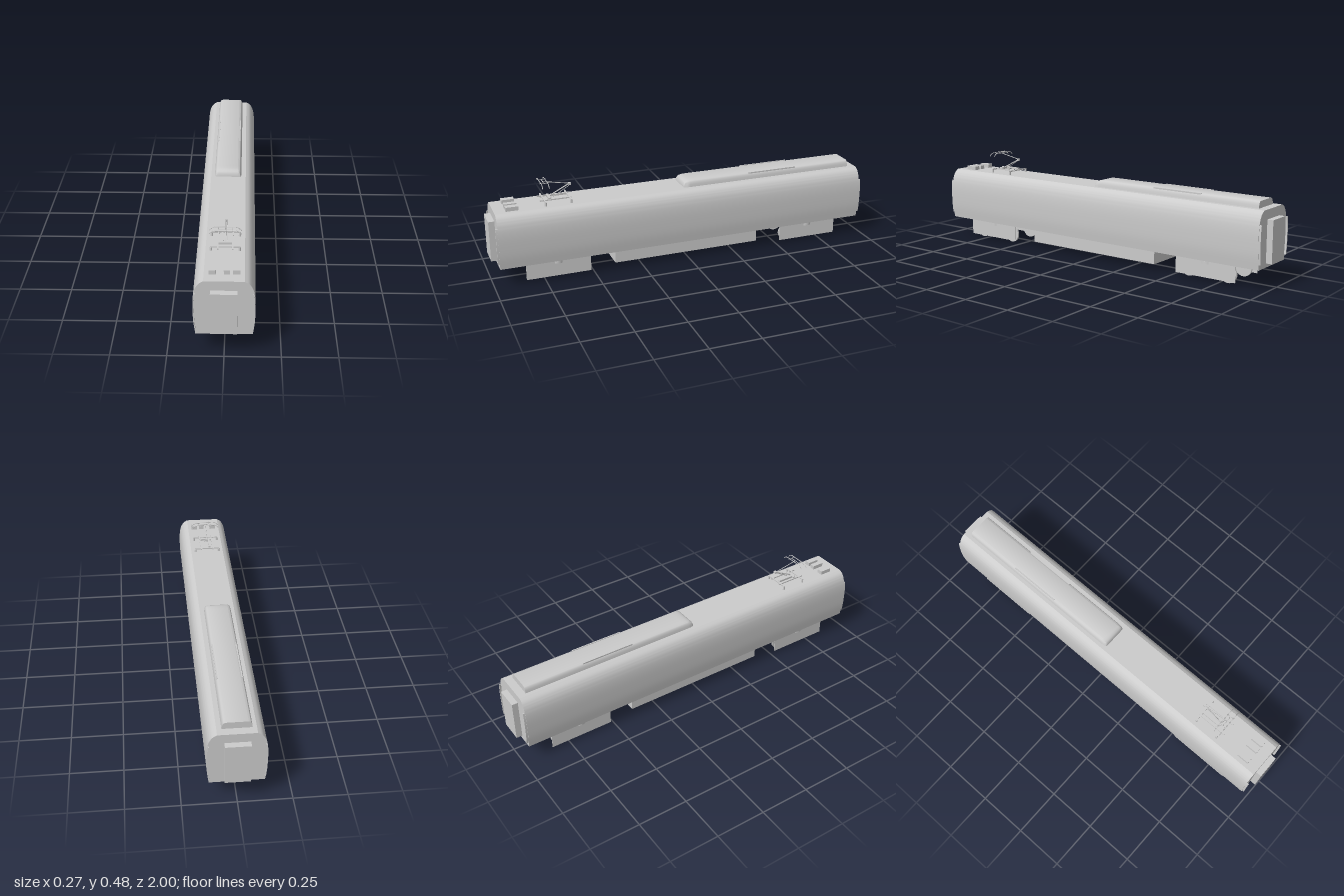
import * as THREE from 'three';
import { toCreasedNormals } from 'three/addons/utils/BufferGeometryUtils.js';

const grey = new THREE.MeshStandardMaterial({ color: 0xcccccc });
const thin = new THREE.MeshStandardMaterial({ color: 0xcccccc, side: THREE.DoubleSide });

function add(parent, name, geometry, x = 0, y = 0, z = 0, material = grey) {
  const mesh = new THREE.Mesh(geometry, material);
  mesh.name = name;
  mesh.position.set(x, y, z);
  parent.add(mesh);
  return mesh;
}

// Box given by its limits on each axis
function box(parent, name, x0, x1, y0, y1, z0, z1) {
  return add(parent, name, new THREE.BoxGeometry(x1 - x0, y1 - y0, z1 - z0),
    (x0 + x1) / 2, (y0 + y1) / 2, (z0 + z1) / 2);
}

// Round bar through a list of points
function rod(parent, name, points, r) {
  const path = new THREE.CurvePath();
  const v = points.map(p => new THREE.Vector3(...p));
  for (let i = 1; i < v.length; i++) path.add(new THREE.LineCurve3(v[i - 1], v[i]));
  add(parent, name, new THREE.TubeGeometry(path, v.length === 2 ? 1 : 20, r, 6), 0, 0, 0, thin);
}

// Closed symmetric outline from its +x half, listed bottom to top
function mirrorShape(half) {
  const left = half.map(([x, y]) => new THREE.Vector2(-x, y)).reverse();
  return new THREE.Shape([...half.map(([x, y]) => new THREE.Vector2(x, y)), ...left]);
}

const sideCurve = new THREE.SplineCurve([
  [0.125, 0.1], [0.1325, 0.16], [0.135, 0.22], [0.1345, 0.27],
  [0.13, 0.31], [0.121, 0.338], [0.107, 0.358], [0.088, 0.37],
].map(p => new THREE.Vector2(...p)));

function buildBody(g) {
  const half = sideCurve.getPoints(28).map(p => [p.x, p.y]);
  const geo = new THREE.ExtrudeGeometry(mirrorShape(half), { depth: 1.94, bevelEnabled: false });
  add(g, 'carBody', toCreasedNormals(geo, 0.4), 0, 0, -0.97);
  box(g, 'underfloorCase', -0.098, 0.098, 0.03, 0.1, -0.387, 0.39);

  for (const end of [-1, 1]) {
    const z = [0.97 * end, end].sort((a, b) => a - b);
    box(g, 'gangwayDoor', -0.059, 0.057, 0.12, 0.324, ...z);
    // Slim curved fins along both edges of the end wall
    for (const side of [-1, 1]) {
      const pts = sideCurve.getPoints(28).filter(p => p.y > 0.12 && p.y < 0.315);
      const outer = pts.map(p => new THREE.Vector2((p.x - 0.002) * side, p.y));
      const inner = pts.map(p => new THREE.Vector2((p.x - 0.006) * side, p.y)).reverse();
      const fin = new THREE.ExtrudeGeometry(new THREE.Shape([...outer, ...inner]),
        { depth: 0.012, bevelEnabled: false });
      add(g, 'endFin', toCreasedNormals(fin, 0.4), 0, 0, end > 0 ? 0.968 : -0.98);
    }
  }
}

function buildRoof(g) {
  // Long fairing; its front end is rounded down by a rule on the sections
  const half = [[0.068, 0], [0.066, 0.014], [0.063, 0.024], [0.058, 0.031], [0.05, 0.034]];
  const sections = [ // z, height scale, width scale
    [-0.93, 1, 1], [-0.05, 1, 1], [-0.025, 0.98, 1], [-0.01, 0.9, 0.99],
    [0, 0.76, 0.97], [0.006, 0.5, 0.94], [0.009, 0.02, 0.9],
  ];
  const n = sections.length - 1;
  const geo = new THREE.ExtrudeGeometry(mirrorShape(half), { depth: n, steps: n, bevelEnabled: false });
  const pos = geo.attributes.position;
  for (let i = 0; i < pos.count; i++) {
    const [z, h, w] = sections[Math.round(pos.getZ(i))];
    pos.setXYZ(i, pos.getX(i) * w, pos.getY(i) * h, z);
  }
  geo.computeVertexNormals();
  add(g, 'roofFairing', toCreasedNormals(geo, 0.7), -0.002, 0.369, 0);
  for (const x of [-0.059, 0.055])
    box(g, 'fairingVent', x - 0.003, x + 0.003, 0.39, 0.404, -0.62, -0.35);

  // Equipment boxes at the front of the roof
  for (const [x0, x1] of [[-0.067, -0.036], [-0.002, 0.024], [0.038, 0.069]])
    box(g, 'roofBox', x0, x1, 0.368, 0.39, 0.853, 0.915);
}

function buildPantograph(g) {
  const p = new THREE.Group();
  p.name = 'pantograph';
  g.add(p);
  // Base frame on four insulators
  for (const x of [-0.064, 0.064]) for (const z of [0.594, 0.72])
    add(p, 'insulator', new THREE.CylinderGeometry(0.005, 0.006, 0.018, 10), x, 0.378, z);
  for (const x of [-0.033, 0.033]) box(p, 'frameRail', x - 0.003, x + 0.003, 0.385, 0.391, 0.585, 0.742);
  for (const z of [0.594, 0.72]) box(p, 'frameCrossbar', -0.068, 0.068, 0.385, 0.391, z - 0.003, z + 0.003);
  box(p, 'driveCylinder', -0.02, -0.01, 0.388, 0.398, 0.6, 0.7);
  box(p, 'armPivot', -0.03, 0.03, 0.387, 0.397, 0.684, 0.698);
  // Folding arm
  rod(p, 'lowerArm', [[0, 0.394, 0.692], [0, 0.448, 0.584]], 0.003);
  rod(p, 'controlRod', [[0.007, 0.392, 0.67], [0.007, 0.44, 0.588]], 0.0015);
  box(p, 'armKnuckle', -0.004, 0.01, 0.441, 0.452, 0.578, 0.59);
  rod(p, 'upperArm', [[0, 0.448, 0.584], [0, 0.473, 0.716]], 0.002);
  // Collector head with bent-down horns
  for (const z of [0.7, 0.732])
    rod(p, 'contactStrip', [[-0.072, 0.46, z], [-0.064, 0.47, z], [-0.05, 0.4765, z],
      [0.05, 0.4765, z], [0.064, 0.47, z], [0.072, 0.46, z]], 0.002);
  for (const x of [-0.03, 0.03]) rod(p, 'headLink', [[x, 0.474, 0.695], [x, 0.474, 0.737]], 0.0015);
  rod(p, 'headCrossbar', [[-0.032, 0.473, 0.716], [0.032, 0.473, 0.716]], 0.0018);
}

function buildBogie(g, zc) {
  const b = new THREE.Group();
  b.name = 'bogie';
  b.position.z = zc;
  g.add(b);
  for (const s of [-1, 1]) {
    add(b, 'sideFrame', new THREE.BoxGeometry(0.003, 0.085, 0.325), s * 0.107, 0.0585, 0);
    add(b, 'airSpring', new THREE.CylinderGeometry(0.036, 0.036, 0.015, 32), s * 0.078, 0.0885, 0);
    for (const z of [-0.107, 0.107])
      add(b, 'wheel', new THREE.CylinderGeometry(0.045, 0.045, 0.009, 32), s * 0.073, 0.045, z)
        .rotation.z = Math.PI / 2;
  }
}

export function createModel() {
  const g = new THREE.Group();
  g.name = 'railCar';
  buildBody(g);
  buildRoof(g);
  buildPantograph(g);
  for (const z of [-0.681, 0.681]) buildBogie(g, z);
  return g;
}
